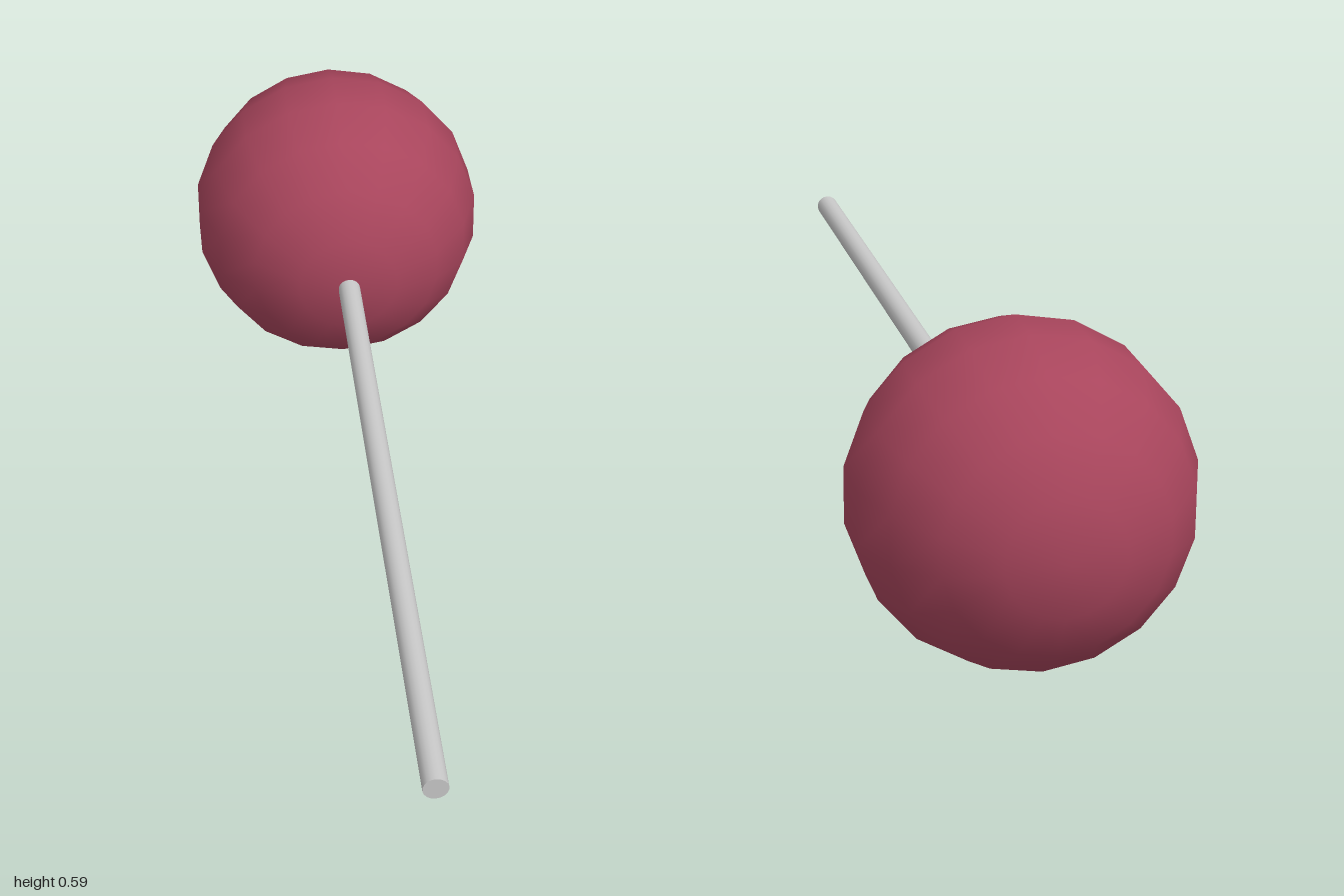
import * as THREE from 'three';

const RADIUS = 0.298;
const CENTRE_Y = 0.2935;
const HEAD_Z = -1 + RADIUS;

export function createModel() {
  const group = new THREE.Group();
  group.name = 'ballHeadedPin';

  const crimson = new THREE.MeshStandardMaterial({ color: 0xa8455c });
  crimson.name = 'crimson';
  const steel = new THREE.MeshStandardMaterial({ color: 0xc8c8c8 });
  steel.name = 'steel grey';

  // Round head: poles lie along the pin, with a ring vertex at the very top
  const headGeometry = new THREE.SphereGeometry(RADIUS, 18, 9);
  headGeometry.rotateY(Math.PI / 2).rotateX(Math.PI / 2);
  const head = new THREE.Mesh(headGeometry, crimson);
  head.name = 'head';
  head.position.set(0, CENTRE_Y, HEAD_Z);

  // Straight shaft running from inside the head to the front end
  const length = 1 - HEAD_Z;
  const shaftGeometry = new THREE.CylinderGeometry(0.022, 0.022, length, 18);
  shaftGeometry.rotateX(Math.PI / 2);
  const shaft = new THREE.Mesh(shaftGeometry, steel);
  shaft.name = 'shaft';
  shaft.position.set(0, CENTRE_Y, 1 - length / 2);

  group.add(head, shaft);
  return group;
}
